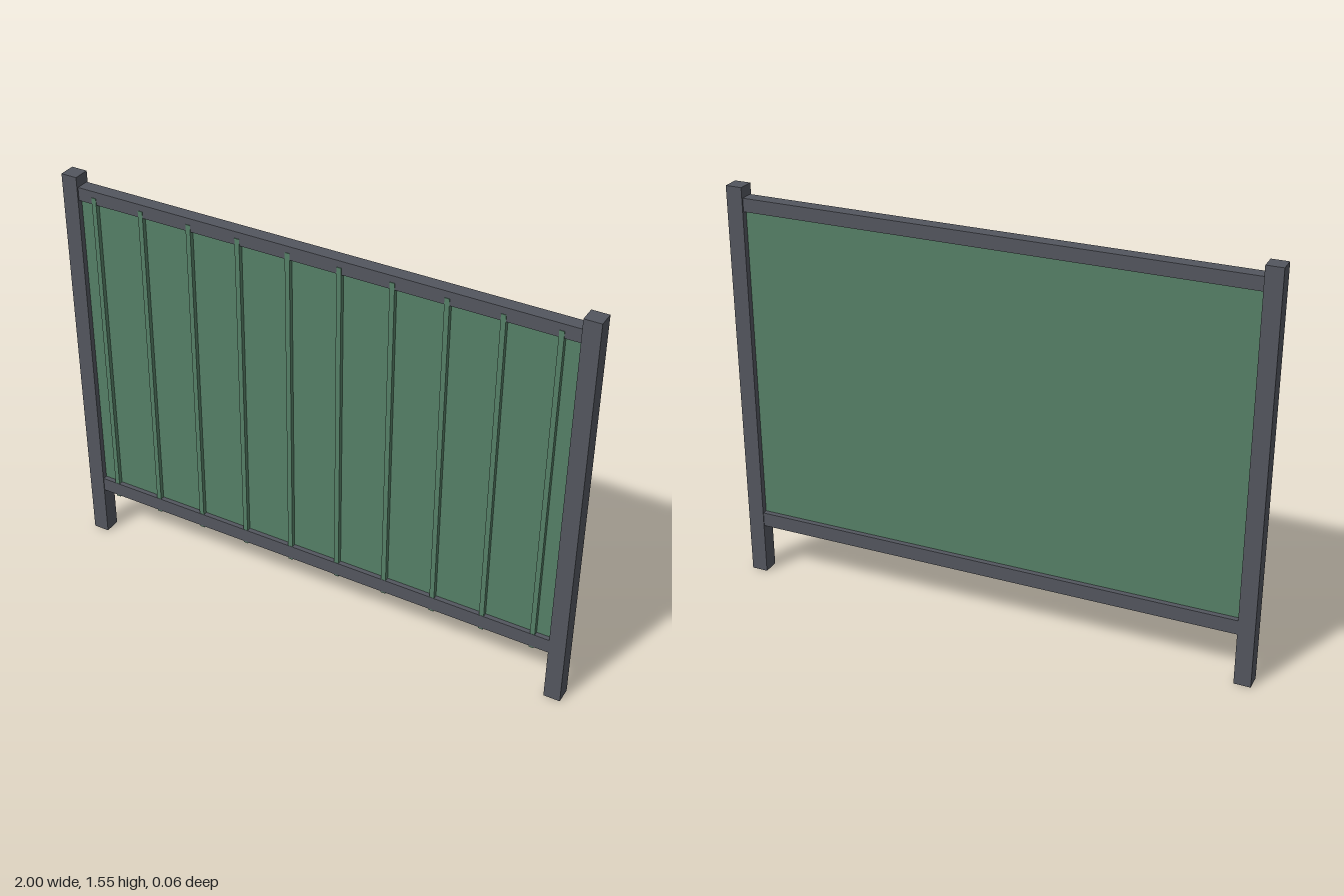
import * as THREE from 'three';

export function createModel() {
  const group = new THREE.Group();
  group.name = 'fencePanel';
  const steel = new THREE.MeshStandardMaterial({ color: 0x53565e });
  const green = new THREE.MeshStandardMaterial({ color: 0x557f66 });

  // Box given by its lower and upper corner
  function block(name, material, [x0, y0, z0], [x1, y1, z1]) {
    const mesh = new THREE.Mesh(new THREE.BoxGeometry(x1 - x0, y1 - y0, z1 - z0), material);
    mesh.position.set((x0 + x1) / 2, (y0 + y1) / 2, (z0 + z1) / 2);
    mesh.name = name;
    group.add(mesh);
  }

  // Square end posts
  block('leftPost', steel, [0.938, 0, -0.031], [1, 1.55, 0.031]);
  block('rightPost', steel, [-1, 0, -0.031], [-0.938, 1.55, 0.031]);

  // Horizontal rails
  block('topRail', steel, [-0.938, 1.46, -0.025], [0.938, 1.51, 0.025]);
  block('bottomRail', steel, [-0.938, 0.2, -0.028], [0.938, 0.255, 0.028]);

  // Sheet infill, let into both rails
  block('sheet', green, [-0.938, 0.197, -0.008], [0.938, 1.48, 0.01]);

  // Upright ribs on the front of the sheet
  const ribs = 10, pitch = 0.194, half = 0.009;
  for (let i = 0; i < ribs; i++) {
    const x = (i - (ribs - 1) / 2) * pitch;
    block(`rib${i + 1}`, green, [x - half, 0.194, 0.008], [x + half, 1.485, 0.027]);
  }

  return group;
}
